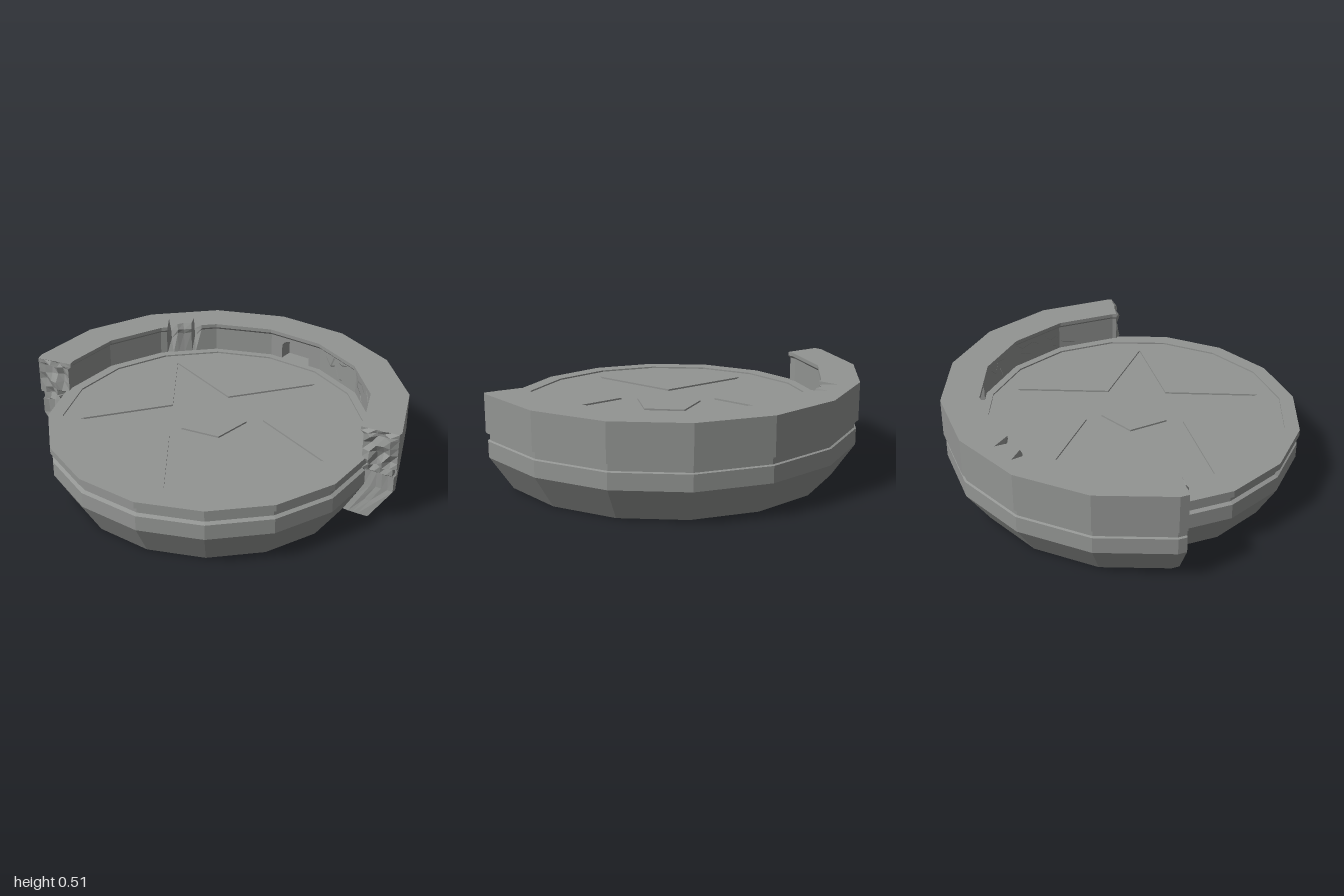
import * as THREE from 'three';

const STEP = 22.5, FIRST = 12.45;          // sixteen sides, slightly turned
const RING_Z = 0.085, FLOOR_Z = 0.07;      // centres of the two shells
const RING_START = 101, RING_END = 285;    // broken ends of the wall, degrees from +z
const rad = THREE.MathUtils.degToRad;

// Point on the sixteen-sided outline of corner radius R
function pt(R, deg, y, cz) {
  const m = (((deg - FIRST) % STEP) + STEP) % STEP - STEP / 2;
  const r = R * Math.cos(rad(STEP / 2)) / Math.cos(rad(m));
  return new THREE.Vector3(r * Math.sin(rad(deg)), y, cz + r * Math.cos(rad(deg)));
}

// Sorted angles: both ends, every corner between them and any extras
function angles(a, b, extra = []) {
  const list = [a, b, ...extra];
  for (let k = -20; k < 40; k++) {
    const d = FIRST + k * STEP;
    if (d > a + 0.1 && d < b - 0.1) list.push(d);
  }
  return list.sort((p, q) => p - q);
}

// Flat-shaded surface through rows of points
function gridGeometry(rows, skip = () => false) {
  const pos = [];
  for (let i = 0; i < rows.length - 1; i++) {
    for (let j = 0; j < rows[i].length - 1; j++) {
      if (skip(i, j)) continue;
      const a = rows[i][j], b = rows[i + 1][j], c = rows[i + 1][j + 1], d = rows[i][j + 1];
      for (const v of [a, b, c, a, c, d]) pos.push(v.x, v.y, v.z);
    }
  }
  const g = new THREE.BufferGeometry();
  g.setAttribute('position', new THREE.Float32BufferAttribute(pos, 3));
  g.computeVertexNormals();
  return g;
}

function seeded(seed) {
  return () => ((seed = (seed * 16807) % 2147483647) / 2147483647) * 2 - 1;
}

export function createModel() {
  const model = new THREE.Group();
  const stone = new THREE.MeshStandardMaterial({ color: 0x929492, side: THREE.DoubleSide, flatShading: true });
  stone.name = 'grey stone';
  const add = (name, geo, parent = model) => {
    const m = new THREE.Mesh(geo, stone);
    m.name = name;
    parent.add(m);
    return m;
  };
  const sweep = (profile, list, cz, skip) =>
    gridGeometry(list.map(a => profile(a).map(([r, y]) => pt(r, a, y, cz))), skip);

  // Front bowl of the platform
  add('platformBowl', sweep(
    () => [[0.75, 0], [0.853, 0.18], [0.853, 0.26], [0.835, 0.27], [0.835, 0.31], [0.862, 0.31]],
    angles(RING_END - 360, RING_START), FLOOR_Z));

  // Rim of the floor with a small step down inside
  add('floorRim', sweep(
    () => [[0.862, 0.31], [0.862, 0.345], [0.785, 0.345], [0.785, 0.337]],
    angles(FIRST, FIRST + 360), FLOOR_Z));

  // Floor with a sunken star and a raised pentagon at its middle
  const corners = (n, radius, turn) => Array.from({ length: n }, (_, i) => {
    const a = rad(turn + (i * 360) / n), r = radius(i);
    return [r * Math.cos(a), FLOOR_Z + r * Math.sin(a)];
  });
  const disc = corners(16, () => 0.785, 90 - FIRST);
  const star = corners(10, i => (i % 2 ? 0.265 : 0.69), 0);
  const pentagon = corners(5, () => 0.18, 42);
  const flat = (name, outline, holes, y) => {
    const toV = p => p.map(([x, z]) => new THREE.Vector2(x, -z));
    const shape = new THREE.Shape(toV(outline));
    holes.forEach(h => shape.holes.push(new THREE.Path(toV(h))));
    add(name, new THREE.ShapeGeometry(shape).rotateX(-Math.PI / 2).translate(0, y, 0));
  };
  const edge = (name, outline, y0, y1) => add(name, gridGeometry(
    [...outline, outline[0]].map(([x, z]) => [new THREE.Vector3(x, y0, z), new THREE.Vector3(x, y1, z)])));
  flat('floor', disc, [star], 0.337);
  edge('starEdge', star, 0.328, 0.337);
  flat('starFloor', star, [pentagon], 0.328);
  edge('pentagonEdge', pentagon, 0.328, 0.337);
  flat('pentagonTop', pentagon, [], 0.337);

  // Wall ring: outer bowl, groove, parapet and inner lip, with a chipped spot
  const chips = { 221: 0, 223.5: 0.9, 225: 0.3, 228: 0.4, 230.5: 0.3, 232.5: 1, 235: 0 };
  const wallR = 0.838;
  const ringAngles = angles(RING_START, RING_END, Object.keys(chips).map(Number));
  const nicheSeg = ringAngles.findIndex(a => Math.abs(a - (FIRST + 7 * STEP)) < 0.01);
  add('wallRing', sweep(a => {
    const c = chips[a] || 0;
    return [[0.89, 0], [1.01, 0.18], [1.01, 0.265], [1.0, 0.27], [1.0, 0.31], [1.02, 0.31], [1.02, 0.51],
      [0.822 + 0.12 * c, 0.51], [0.822 + 0.07 * c, 0.49 - 0.03 * c],
      [wallR + 0.04 * c, 0.475 - 0.06 * c], [wallR, 0.335]];
  }, ringAngles, RING_Z, (i, j) => i === nicheSeg && j === 9));

  // Back wall panel with an arched niche
  const niche = new THREE.Group();
  niche.name = 'niche';
  niche.position.z = RING_Z;
  niche.rotation.y = rad(FIRST + 7.5 * STEP);
  model.add(niche);
  const half = wallR * Math.sin(rad(STEP / 2)), apothem = wallR * Math.cos(rad(STEP / 2)), depth = 0.08;
  const arch = [new THREE.Vector2(-0.09, 0.345), new THREE.Vector2(0.09, 0.345)];
  for (let i = 0; i <= 10; i++) {
    const a = (Math.PI * i) / 10;
    arch.push(new THREE.Vector2(0.09 * Math.cos(a), 0.42 + 0.045 * Math.sin(a)));
  }
  const panel = new THREE.Shape([[-half, 0.335], [half, 0.335], [half, 0.475], [-half, 0.475]]
    .map(p => new THREE.Vector2(...p)));
  panel.holes.push(new THREE.Path(arch));
  add('nicheWall', new THREE.ShapeGeometry(panel).translate(0, 0, apothem), niche);
  add('nicheBack', new THREE.ShapeGeometry(new THREE.Shape(arch)).translate(0, 0, apothem + depth), niche);
  add('nicheLining', gridGeometry([...arch, arch[0]].map(p =>
    [apothem, apothem + depth].map(z => new THREE.Vector3(p.x, p.y, z)))), niche);

  // Broken ends of the wall: rows of height, inner radius, outer radius
  const rows = [[0, 0.75, 0.89], [0.09, 0.802, 0.95], [0.18, 0.853, 1.01], [0.265, 0.853, 1.01],
    [0.27, 0.835, 1.0], [0.31, 0.835, 1.0], [0.311, wallR, 1.02], [0.345, wallR, 1.02], [0.39, wallR, 1.02],
    [0.43, wallR, 1.02], [0.475, wallR, 1.02], [0.49, 0.822, 1.02], [0.51, 0.822, 1.02]];
  const brokenEnd = (name, angle, roughLow, seed) => {
    const rnd = seeded(seed);
    const along = new THREE.Vector3(Math.cos(rad(angle)), 0, -Math.sin(rad(angle)));
    add(name, gridGeometry(rows.map(([y, r0, r1]) => {
      const a = pt(r0, angle, y, y > 0.32 ? RING_Z : FLOOR_Z), b = pt(r1, angle, y, RING_Z);
      const rough = y > 0.3 && y < 0.5 ? 0.028 : y >= 0.5 ? 0.004 : roughLow;
      return [0, 0.22, 0.4, 0.6, 0.8, 1].map(t => {
        const p = a.clone().lerp(b, t);
        return t > 0 && t < 1 ? p.addScaledVector(along, rnd() * rough) : p;
      });
    })));
  };
  brokenEnd('brokenEndLeft', RING_START, 0.004, 77);
  brokenEnd('brokenEndRight', RING_END, 0.016, 4211);

  // Thin cracks in the inner wall, as angle and height
  const cracks = [
    [[166, 0.45], [163, 0.41], [160, 0.43], [158, 0.37], [154, 0.36]],
    [[163, 0.41], [161, 0.47], [156, 0.455], [153, 0.47]],
    [[147, 0.47], [144, 0.44], [145, 0.41], [140, 0.39], [139, 0.36]],
    [[144, 0.44], [139, 0.455], [136, 0.43]],
    [[133, 0.465], [130, 0.42], [127, 0.43], [124, 0.38], [119, 0.37]],
    [[130, 0.42], [129, 0.38], [126, 0.36]],
  ];
  cracks.forEach(c => add('crack', gridGeometry(c.map(([a, y]) =>
    [pt(wallR - 0.005, a, y + 0.003, RING_Z), pt(wallR - 0.001, a - 0.35, y - 0.003, RING_Z)]))));

  return model;
}
